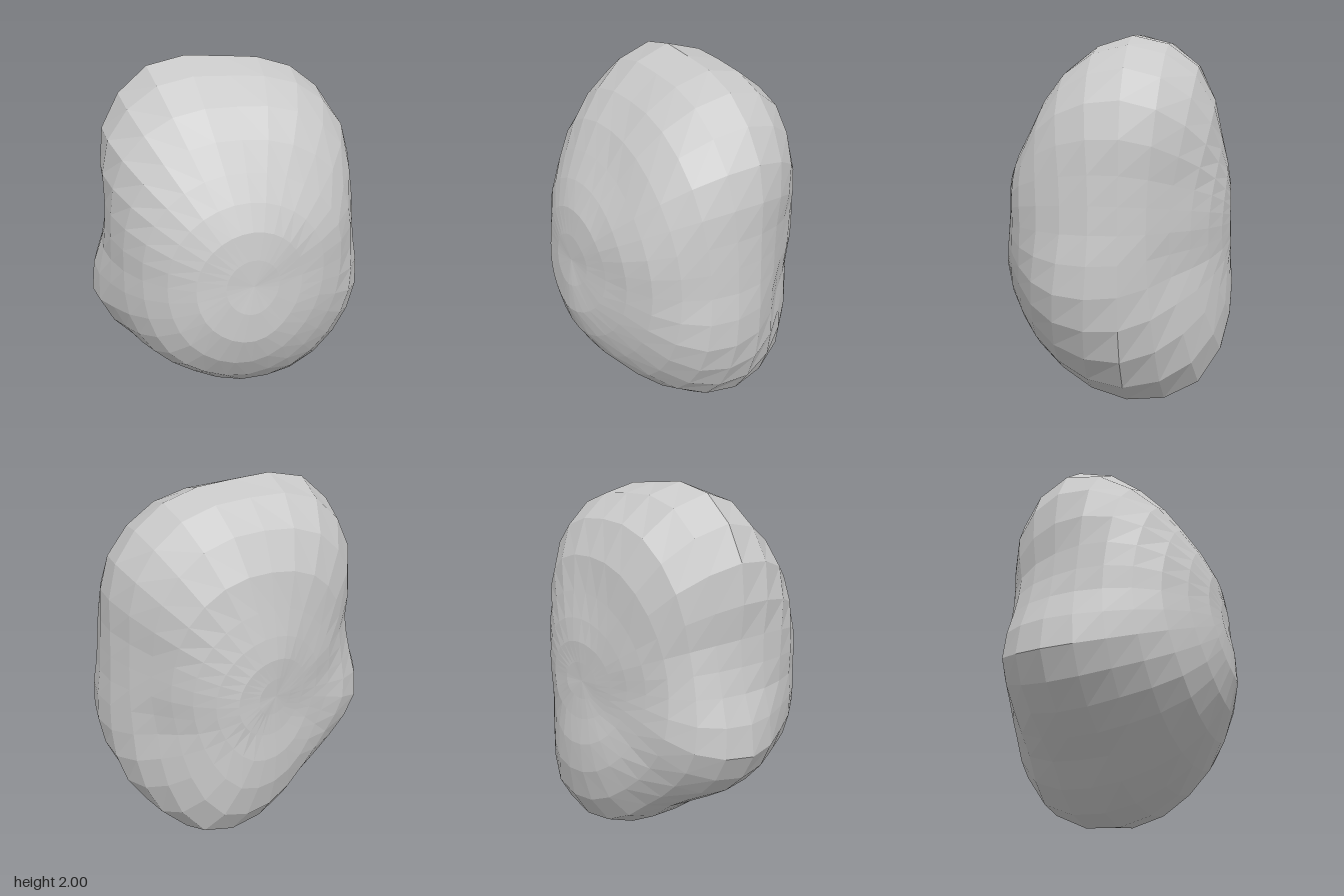
import * as THREE from 'three';

// Stone radius by direction: rows step 22.5 degrees from the front pole (+z) to the back pole,
// each row sampled evenly around the z axis, counter-clockwise from +x.
const RADII = [
  [0.73],
  [0.72, 0.735, 0.75, 0.77, 0.775, 0.81, 0.82, 0.76],
  [0.76, 0.775, 0.78, 0.77, 0.775, 0.805, 0.815, 0.79, 0.765, 0.80, 0.85, 0.87, 0.88, 0.86, 0.82, 0.785],
  [0.76, 0.785, 0.88, 0.91, 0.89, 0.93, 0.90, 0.775, 0.73, 0.795, 0.815, 0.83, 0.91, 0.95, 0.915, 0.85],
  [0.715, 0.755, 0.915, 1.0, 1.0, 1.05, 0.925, 0.715, 0.70, 0.835, 0.82, 0.805, 0.95, 1.03, 0.93, 0.79],
  [0.625, 0.66, 0.80, 0.90, 0.90, 0.90, 0.80, 0.66, 0.665, 0.755, 0.76, 0.80, 0.94, 0.99, 0.81, 0.65],
  [0.60, 0.62, 0.66, 0.68, 0.66, 0.64, 0.60, 0.57, 0.55, 0.57, 0.60, 0.67, 0.74, 0.76, 0.68, 0.61],
  [0.575, 0.575, 0.56, 0.52, 0.50, 0.51, 0.56, 0.58],
  [0.51],
];

// Smooth curve through four neighbouring samples
function cubic(a, b, c, d, t) {
  return b + 0.5 * t * (c - a + t * (2 * a - 5 * b + 4 * c - d + t * (3 * (b - c) + d - a)));
}

// Radius on one row, wrapping around the axis
function around(row, turn) {
  const n = row.length;
  const f = turn * n;
  const i = Math.floor(f);
  const at = (k) => row[(((i + k) % n) + n) % n];
  return cubic(at(-1), at(0), at(1), at(2), f - i);
}

// Radius in any direction; past a pole the rows continue on the far side
function radius(direction) {
  const turn = Math.atan2(direction.y, direction.x) / (2 * Math.PI);
  const f = (Math.acos(THREE.MathUtils.clamp(direction.z, -1, 1)) / Math.PI) * 8;
  const i = Math.min(Math.floor(f), 7);
  const at = (k) => {
    const r = i + k;
    if (r < 0) return around(RADII[-r], turn + 0.5);
    if (r > 8) return around(RADII[16 - r], turn + 0.5);
    return around(RADII[r], turn);
  };
  return cubic(at(-1), at(0), at(1), at(2), f - i);
}

export function createModel() {
  const stoneGrey = new THREE.MeshStandardMaterial({ color: 0xc8c8c8, flatShading: true });
  stoneGrey.name = 'stoneGrey';

  // Faceted sphere with its poles on the z axis, pushed in and out
  const sphere = new THREE.SphereGeometry(1, 32, 16).rotateX(Math.PI / 2);
  const position = sphere.attributes.position;
  const v = new THREE.Vector3();
  for (let i = 0; i < position.count; i++) {
    v.fromBufferAttribute(position, i).normalize();
    v.multiplyScalar(radius(v));
    position.setXYZ(i, v.x, v.y, v.z);
  }

  // Flat facets, lifted to stand on the ground
  const geometry = sphere.toNonIndexed().translate(0, 0.985, -0.1);
  geometry.computeVertexNormals();

  const boulder = new THREE.Mesh(geometry, stoneGrey);
  boulder.name = 'boulder';
  const group = new THREE.Group();
  group.name = 'rock';
  group.add(boulder);
  return group;
}
